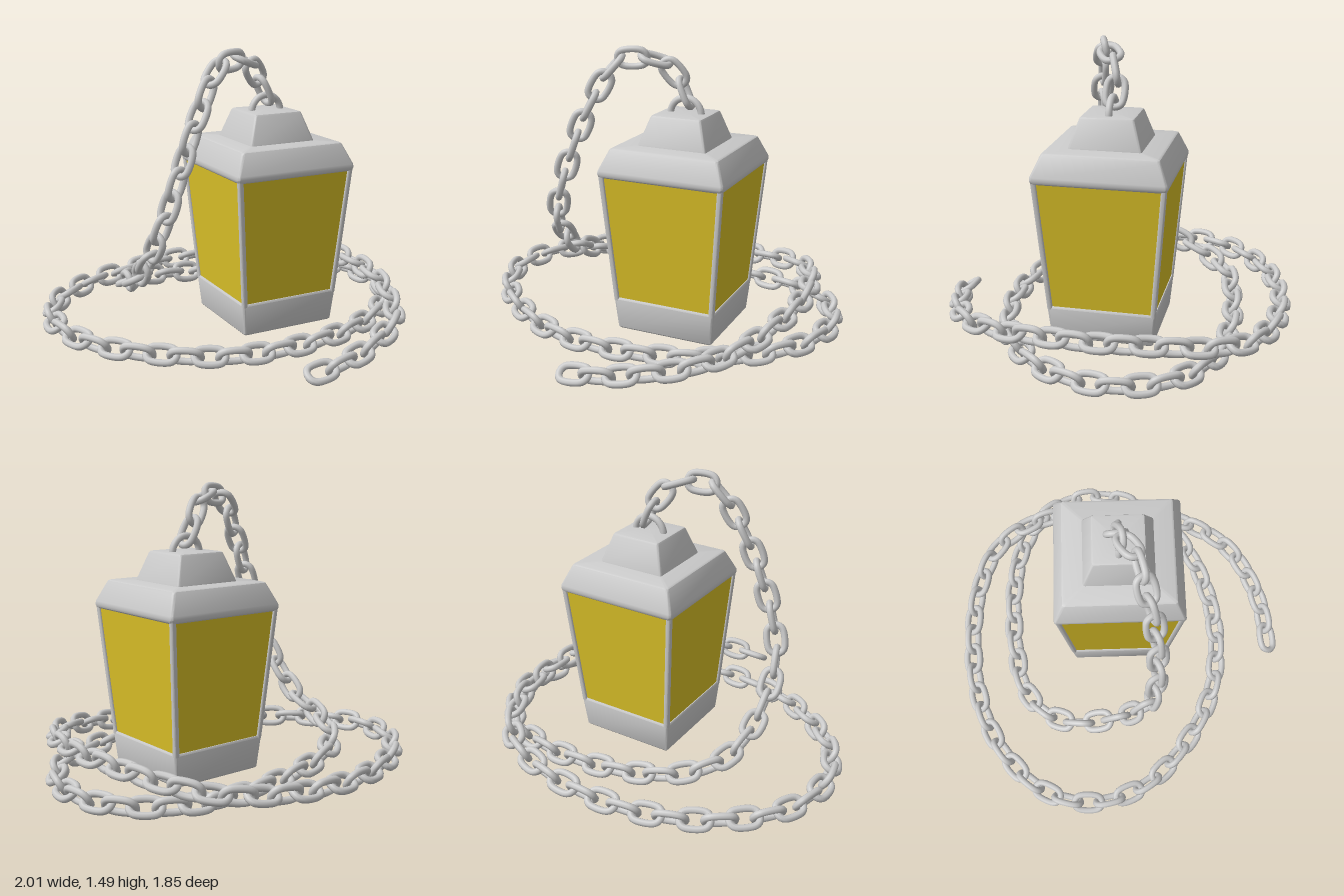
import * as THREE from 'three';
import { toCreasedNormals } from 'three/addons/utils/BufferGeometryUtils.js';

const metal = new THREE.MeshStandardMaterial({ color: 0xcccccc });
const amber = new THREE.MeshStandardMaterial({ color: 0xdcc228 });

// Closed solid of rounded-square sections; each section is [half width, y, centre x, centre z]
function squareLoft(sections, radius) {
  const steps = 3, ring = 4 * (steps + 1), pos = [], index = [];
  const closed = [[0.002, ...sections[0].slice(1)], ...sections, [0.002, ...sections.at(-1).slice(1)]];
  for (const [half, y, cx = 0, cz = 0] of closed) {
    const r = Math.min(radius, half);
    for (let c = 0; c < 4; c++) {
      const mid = Math.PI / 4 + c * Math.PI / 2;
      for (let s = 0; s <= steps; s++) {
        const a = c * Math.PI / 2 + s / steps * Math.PI / 2;
        pos.push(cx + Math.sign(Math.cos(mid)) * (half - r) + Math.cos(a) * r, y,
          cz + Math.sign(Math.sin(mid)) * (half - r) + Math.sin(a) * r);
      }
    }
  }
  for (let i = 0; i < closed.length - 1; i++) {
    for (let j = 0; j < ring; j++) {
      const a = i * ring + j, b = i * ring + (j + 1) % ring;
      index.push(a, a + ring, b, b, a + ring, b + ring);
    }
  }
  const geo = new THREE.BufferGeometry();
  geo.setAttribute('position', new THREE.Float32BufferAttribute(pos, 3));
  geo.setIndex(index);
  return toCreasedNormals(geo, 0.62);
}

function add(parent, name, geometry, material = metal) {
  const mesh = new THREE.Mesh(geometry, material);
  mesh.name = name;
  parent.add(mesh);
  return mesh;
}

function createLantern() {
  const lantern = new THREE.Group();
  lantern.name = 'lantern';
  lantern.position.set(0.185, 0, -0.01);

  add(lantern, 'base', squareLoft([[0.258, 0.02], [0.264, 0.027], [0.279, 0.185], [0.274, 0.195]], 0.012));

  // Four flat panes as one tapered square prism
  const panes = new THREE.CylinderGeometry(0.326 * Math.SQRT2, 0.268 * Math.SQRT2, 0.7, 4, 1, true).rotateY(Math.PI / 4);
  add(lantern, 'glassPanes', toCreasedNormals(panes, 0.5), amber).position.y = 0.53;

  // Slanting corner posts
  for (const sx of [-1, 1]) {
    for (const sz of [-1, 1]) {
      const at = (outer, y) => [0.014, y, sx * (outer - 0.014), sz * (outer - 0.014)];
      add(lantern, 'cornerPost', squareLoft([at(0.279, 0.18), at(0.336, 0.88)], 0.008));
    }
  }

  add(lantern, 'roof', squareLoft([
    [0.328, 0.853], [0.336, 0.86], [0.34, 0.873], [0.338, 0.89],
    [0.297, 0.985], [0.291, 0.997], [0.28, 1.002]], 0.014));
  add(lantern, 'cap', squareLoft([
    [0.187, 0.99], [0.184, 1.008], [0.139, 1.142], [0.134, 1.151], [0.125, 1.154]], 0.012));

  // Half ring that takes the first chain link
  const hanger = add(lantern, 'hangingRing', new THREE.TorusGeometry(0.085, 0.018, 10, 24, Math.PI));
  hanger.position.y = 1.145;
  return lantern;
}

function createChain() {
  const chain = new THREE.Group();
  chain.name = 'chain';

  // Over the arch, sloping down to the ground, then two coils out to the loose end
  const path = new THREE.CatmullRomCurve3([
    [0.2, 1.2, -0.02], [0.14, 1.32, -0.02], [0.06, 1.41, 0.02], [-0.03, 1.43, 0.07], [-0.14, 1.41, 0.1],
    [-0.28, 1.19, 0.15], [-0.38, 0.95, 0.17], [-0.46, 0.72, 0.165], [-0.5, 0.58, 0.135],
    [-0.52, 0.47, 0.07], [-0.525, 0.31, -0.09], [-0.52, 0.235, -0.26], [-0.46, 0.18, -0.42],
    [-0.3, 0.14, -0.56], [-0.05, 0.1, -0.62], [0.2, 0.08, -0.64], [0.42, 0.07, -0.63],
    [0.66, 0.07, -0.57], [0.85, 0.07, -0.43], [0.95, 0.07, -0.2], [0.92, 0.07, 0.05],
    [0.77, 0.07, 0.28], [0.5, 0.06, 0.46], [0.1, 0.06, 0.56], [-0.3, 0.06, 0.52],
    [-0.62, 0.07, 0.35], [-0.86, 0.08, 0.1], [-0.945, 0.09, -0.2], [-0.86, 0.09, -0.48],
    [-0.6, 0.09, -0.72], [-0.3, 0.09, -0.84], [0, 0.1, -0.875], [0.3, 0.12, -0.85],
    [0.56, 0.15, -0.75], [0.71, 0.18, -0.57], [0.79, 0.2, -0.3], [0.81, 0.2, -0.05],
    [0.78, 0.19, 0.2], [0.7, 0.16, 0.45], [0.56, 0.13, 0.66], [0.35, 0.1, 0.79],
    [0.15, 0.07, 0.85], [-0.055, 0.05, 0.87],
  ].map((p) => new THREE.Vector3(...p)));
  path.arcLengthDivisions = 1500;

  // One link: a rounded oblong of wire
  const w = 0.041, l = 0.073, c = 0.022;
  const outline = [[w, l - c], [w - c, l], [c - w, l], [-w, l - c], [-w, c - l], [c - w, -l], [w - c, -l], [w, c - l]];
  const linkCurve = new THREE.CatmullRomCurve3(outline.map(([x, z]) => new THREE.Vector3(x, 0, z)), true);
  const linkGeometry = new THREE.TubeGeometry(linkCurve, 36, 0.018, 8, true);

  // Carry a frame back from the loose end, turning every other link a quarter
  const count = Math.round(path.getLength() / 0.118);
  const up = new THREE.Vector3(0, 1, 0), side = new THREE.Vector3(), matrix = new THREE.Matrix4();
  for (let i = count - 1; i >= 0; i--) {
    const u = (i + 0.5) / count, tangent = path.getTangentAt(u);
    up.addScaledVector(tangent, -up.dot(tangent)).normalize();
    side.crossVectors(up, tangent);
    const link = add(chain, 'chainLink', linkGeometry);
    link.quaternion.setFromRotationMatrix(matrix.makeBasis(side, up, tangent));
    link.rotateZ(-0.55 + ((count - 1 - i) % 2) * Math.PI / 2);
    link.position.copy(path.getPointAt(u));
  }
  return chain;
}

export function createModel() {
  const model = new THREE.Group();
  model.name = 'lanternWithChain';
  model.add(createLantern(), createChain());
  return model;
}
